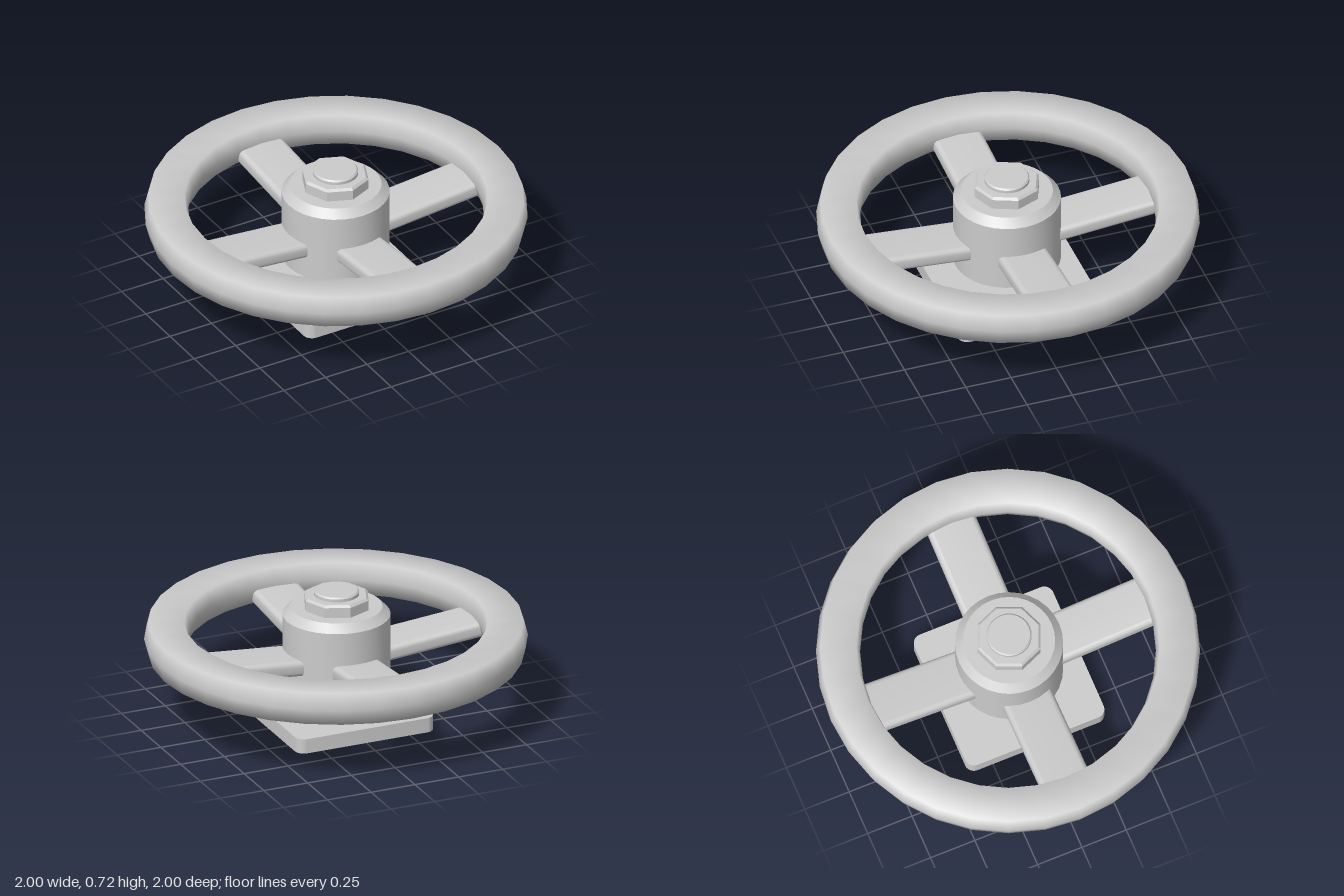
import * as THREE from 'three';
import { toCreasedNormals, mergeVertices } from 'three/addons/utils/BufferGeometryUtils.js';

const material = new THREE.MeshStandardMaterial({ color: 0xcccccc });

function addMesh(parent, name, geometry) {
  const mesh = new THREE.Mesh(geometry, material);
  mesh.name = name;
  parent.add(mesh);
  return mesh;
}

// Turned part from [radius, height] pairs, listed bottom to top on the outside
function turned(points, segments, crease = 0.5) {
  const profile = points.map(([r, y]) => new THREE.Vector2(r, y));
  return toCreasedNormals(new THREE.LatheGeometry(profile, segments), crease);
}

function roundedRect(w, h, r) {
  const x = w / 2, y = h / 2;
  const s = new THREE.Shape();
  s.moveTo(-x + r, -y);
  s.lineTo(x - r, -y);
  s.absarc(x - r, -y + r, r, -Math.PI / 2, 0);
  s.lineTo(x, y - r);
  s.absarc(x - r, y - r, r, 0, Math.PI / 2);
  s.lineTo(-x + r, y);
  s.absarc(-x + r, y - r, r, Math.PI / 2, Math.PI);
  s.lineTo(-x, -y + r);
  s.absarc(-x + r, -y + r, r, Math.PI, Math.PI * 1.5);
  return s;
}

// Rim: a closed six-point profile with fully smooth normals
function rimGeometry() {
  const profile = [[0.77, 0.452], [0.79, 0.365], [0.978, 0.365], [1, 0.452], [0.978, 0.54], [0.79, 0.54], [0.77, 0.452]];
  let g = new THREE.LatheGeometry(profile.map(([r, y]) => new THREE.Vector2(r, y)), 32);
  g.deleteAttribute('normal');
  g.deleteAttribute('uv');
  g = mergeVertices(g, 1e-4);
  g.computeVertexNormals();
  return g;
}

// Spoke: rounded bar running along +z, rising towards the rim
function spokeGeometry() {
  const start = 0.2, end = 0.83;
  const g = new THREE.ExtrudeGeometry(roundedRect(0.268, 0.085, 0.028), { depth: end - start, bevelEnabled: false, curveSegments: 4 });
  const p = g.attributes.position;
  for (let i = 0; i < p.count; i++) {
    const z = p.getZ(i) + start;
    p.setXYZ(i, p.getX(i), p.getY(i) + 0.357 + 0.085 * (z - 0.25), z);
  }
  return toCreasedNormals(g, 0.6);
}

export function createModel() {
  const model = new THREE.Group();
  model.name = 'handwheel';

  addMesh(model, 'rim', rimGeometry());

  // Everything on the spindle axis
  const core = new THREE.Group();
  core.name = 'core';
  core.position.set(-0.005, 0, 0.004);
  model.add(core);

  const spoke = spokeGeometry();
  for (let i = 0; i < 4; i++) {
    addMesh(core, 'spoke', spoke).rotation.y = i * Math.PI / 2;
  }

  addMesh(core, 'hub', turned([[0, 0.2], [0.282, 0.2], [0.282, 0.582], [0.24, 0.625], [0, 0.625]], 32));
  addMesh(core, 'nut', turned([[0, 0.62], [0.178, 0.62], [0.178, 0.68], [0.165, 0.692], [0, 0.692]], 8));
  addMesh(core, 'spindleTip', turned([[0, 0.68], [0.118, 0.68], [0.118, 0.708], [0.11, 0.716], [0, 0.716]], 24));
  addMesh(core, 'spindle', turned([[0.082, 0.07], [0.082, 0.21]], 24));

  // Base plate
  const plate = new THREE.ExtrudeGeometry(roundedRect(0.782, 0.782, 0.05), { depth: 0.08, bevelEnabled: false, curveSegments: 6 });
  plate.rotateX(-Math.PI / 2);
  addMesh(core, 'basePlate', toCreasedNormals(plate, 0.5));

  return model;
}
